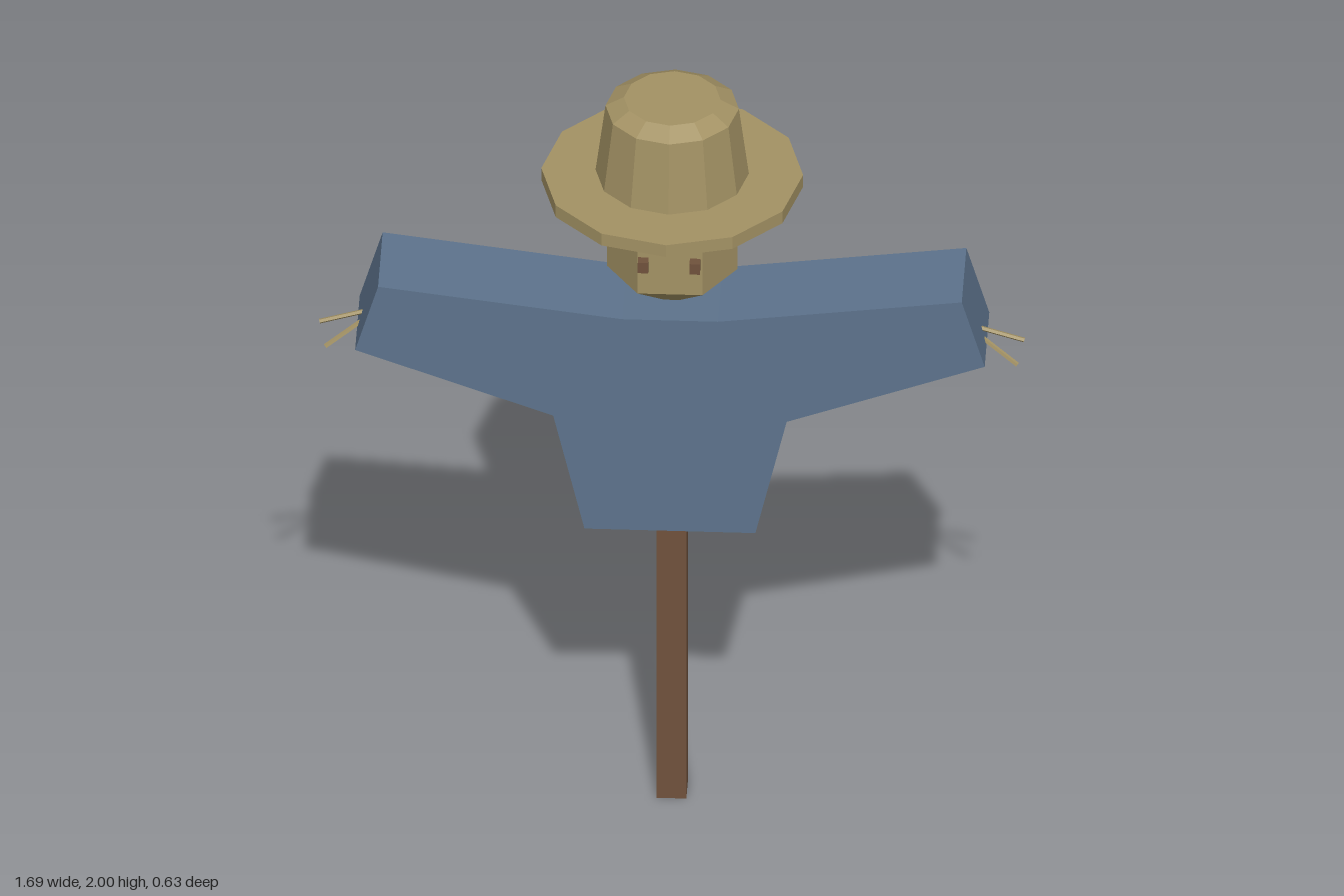
import * as THREE from 'three';

const material = (name, color) => {
  const m = new THREE.MeshStandardMaterial({ color });
  m.name = name;
  return m;
};

// Faceted copy of a geometry: every face gets its own normal
function faceted(geometry) {
  const flat = geometry.index ? geometry.toNonIndexed() : geometry;
  flat.computeVertexNormals();
  return flat;
}

export function createModel() {
  const straw = material('straw', 0xa39264);
  const cloth = material('blue cloth', 0x5d738c);
  const wood = material('brown wood', 0x70523c);

  const model = new THREE.Group();
  model.name = 'scarecrow';

  const add = (name, geometry, mat, x = 0, y = 0, z = 0) => {
    const mesh = new THREE.Mesh(faceted(geometry), mat);
    mesh.name = name;
    mesh.position.set(x, y, z);
    model.add(mesh);
    return mesh;
  };

  // Upright post and the crossbar poking out below the sleeves
  add('post', new THREE.BoxGeometry(0.072, 1.42, 0.086), wood, 0, 0.71);
  add('crossbar', new THREE.BoxGeometry(1.29, 0.05, 0.05), straw, 0, 1.255);

  // Shirt: half outline mirrored, then extruded front to back
  const half = [[0.115, 1.435], [0.7, 1.51], [0.755, 1.325], [0.28, 1.15], [0.205, 0.825]];
  const outline = [...half, ...half.map(([x, y]) => [-x, y]).reverse()];
  const shirt = new THREE.Shape(outline.map(([x, y]) => new THREE.Vector2(x, y)));
  const depth = 0.232;
  add('shirt', new THREE.ExtrudeGeometry(shirt, { depth, bevelEnabled: false }), cloth, 0, 0, -depth / 2);

  // Six-sided head, slightly tall and flattened in depth
  const head = new THREE.SphereGeometry(0.181, 6, 3).scale(1, 1.1, 0.74 / 0.866 * 0.866 / 0.87);
  add('head', head, straw, 0, 1.61);

  // Hat: flat brim, tapered crown and bevelled top
  add('hatBrim', new THREE.CylinderGeometry(0.314, 0.314, 0.034, 12), straw, 0, 1.771);
  add('hatCrown', new THREE.CylinderGeometry(0.16, 0.184, 0.188, 12), straw, 0, 1.881);
  add('hatTop', new THREE.CylinderGeometry(0.116, 0.16, 0.025, 12), straw, 0, 1.9875);

  // A straw stalk running between two points
  const stalk = (name, from, to) => {
    const a = new THREE.Vector3(...from);
    const dir = new THREE.Vector3(...to).sub(a);
    const length = dir.length();
    const mesh = add(name, new THREE.CylinderGeometry(0.006, 0.006, length, 5), straw);
    mesh.position.copy(a).addScaledVector(dir, 0.5);
    mesh.quaternion.setFromUnitVectors(new THREE.Vector3(0, 1, 0), dir.normalize());
  };

  // Eyes and hand straws on both sides
  for (const [side, s] of [['left', 1], ['right', -1]]) {
    add(side + 'Eye', new THREE.BoxGeometry(0.025, 0.03, 0.024), wood, s * 0.062, 1.623, 0.16);
    stalk(side + 'UpperStraw', [s * 0.7, 1.373, 0.003], [s * 0.845, 1.335, 0.012]);
    stalk(side + 'LowerStraw', [s * 0.7, 1.37, 0], [s * 0.83, 1.285, 0.045]);
  }
  return model;
}
